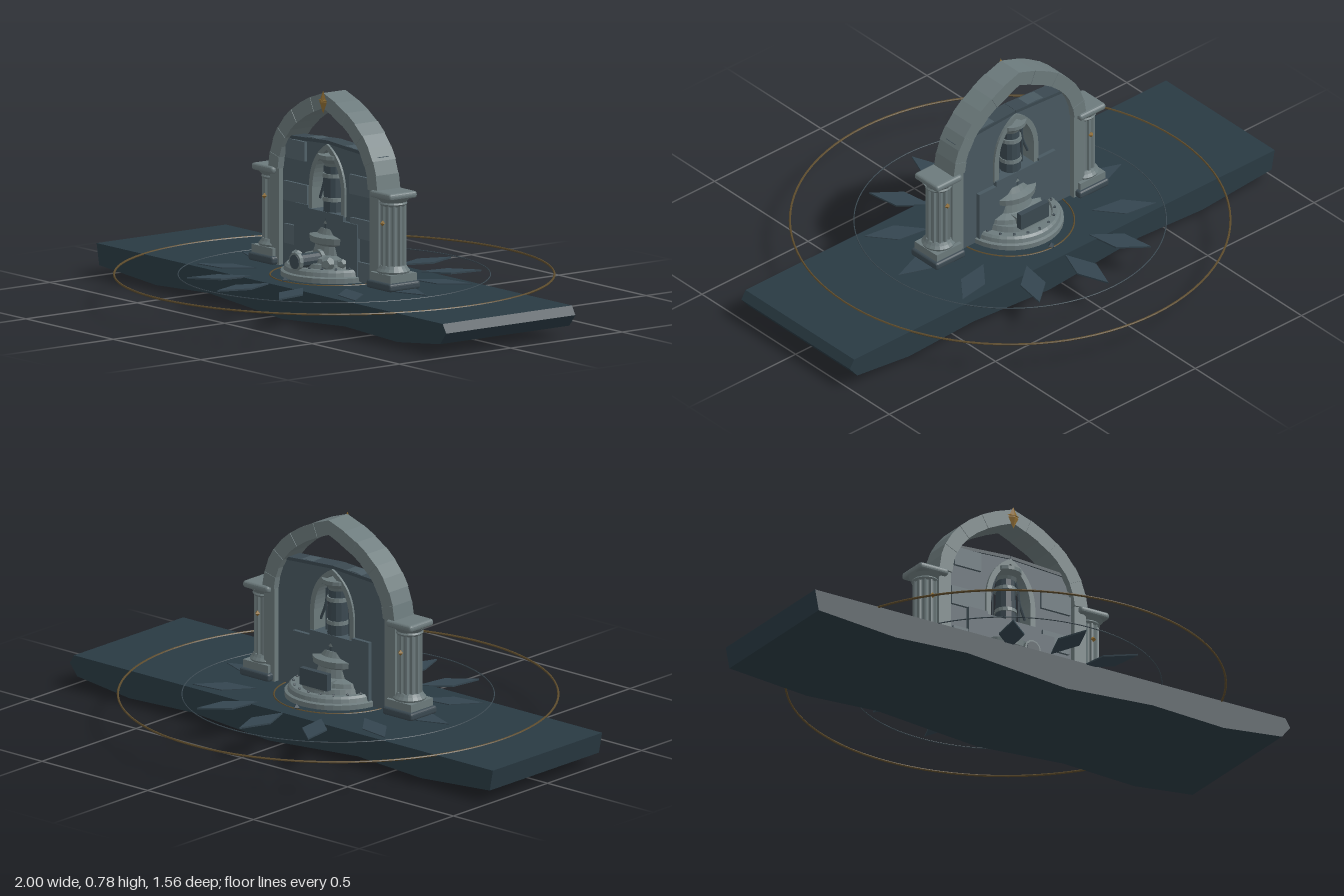
import * as THREE from 'three';
import { RoundedBoxGeometry } from 'three/addons/geometries/RoundedBoxGeometry.js';

const mat = (color) => new THREE.MeshStandardMaterial({ color, flatShading: true, side: THREE.DoubleSide });
const M = {
  slab: mat(0x293a43), petal: mat(0x34454f), wall: mat(0x485860), brick: mat(0x52626a),
  stone: mat(0x6c7a7c), dark: mat(0x3a4850), gold: mat(0x8f6d33), bronze: mat(0x5c4b2c),
};
const TOP = 0.117; // walking surface of the slab

function add(parent, name, geo, material, x = 0, y = 0, z = 0) {
  const m = new THREE.Mesh(geo, material);
  m.name = name;
  m.position.set(x, y, z);
  parent.add(m);
  return m;
}
const box = (w, h, d) => new THREE.BoxGeometry(w, h, d);
const cyl = (a, b, h, n = 24) => new THREE.CylinderGeometry(a, b, h, n);
const lathe = (pts, n = 32) => new THREE.LatheGeometry(pts.map((p) => new THREE.Vector2(...p)), n);
const outline = (pts) => new THREE.Shape(pts.map((p) => new THREE.Vector2(...p)));
// Extrusion centred on z = 0
const extrude = (shape, depth) => new THREE.ExtrudeGeometry(shape, { depth, bevelEnabled: false, curveSegments: 10 })
  .translate(0, 0, -depth / 2);

// Pointed window outline, grown outward by g
function windowPath(path, g = 0) {
  path.moveTo(-0.085 - g, 0.34);
  path.lineTo(0.085 + g, 0.34);
  path.lineTo(0.085 + g, 0.42);
  path.quadraticCurveTo(0.08 + g, 0.52 + g, 0, 0.57 + g);
  path.quadraticCurveTo(-0.08 - g, 0.52 + g, -0.085 - g, 0.42);
  path.lineTo(-0.085 - g, 0.34);
  return path;
}

// Column with plinth, fluted shaft and capital
function column() {
  const g = new THREE.Group();
  g.name = 'column';
  add(g, 'plinth', new RoundedBoxGeometry(0.14, 0.03, 0.14, 2, 0.01), M.dark, 0, TOP + 0.015);
  add(g, 'columnFoot', box(0.118, 0.03, 0.118), M.stone, 0, TOP + 0.043);
  add(g, 'footRing', lathe([[0, 0], [0.056, 0], [0.06, 0.01], [0.052, 0.02], [0.046, 0.03], [0, 0.03]], 20), M.stone, 0, 0.172);
  const flutes = [];
  for (let i = 0; i < 48; i++) {
    const a = (i / 48) * Math.PI * 2;
    const r = i % 4 < 2 ? 0.046 : 0.039;
    flutes.push([Math.cos(a) * r, Math.sin(a) * r]);
  }
  add(g, 'flutedShaft', extrude(outline(flutes), 0.24).rotateX(Math.PI / 2), M.stone, 0, 0.315);
  add(g, 'capitalBell', lathe([[0.044, 0], [0.05, 0.008], [0.046, 0.014], [0.062, 0.03]], 20), M.stone, 0, 0.415);
  add(g, 'capitalSlab', new RoundedBoxGeometry(0.122, 0.026, 0.126, 2, 0.011), M.stone, 0, 0.455);
  // gilded studs on the shaft
  for (const z of [-0.048, 0.048]) {
    add(g, 'stud', new THREE.OctahedronGeometry(0.011), M.gold, 0, 0.355, z);
  }
  return g;
}

// Half of the pointed arch, made of wedge stones
function halfArch() {
  const g = new THREE.Group();
  g.name = 'halfArch';
  const curve = new THREE.QuadraticBezierCurve3(
    new THREE.Vector3(0.285, 0.466, 0), new THREE.Vector3(0.27, 0.66, 0), new THREE.Vector3(0, 0.747, 0));
  const n = 8, rim = [];
  for (let i = 0; i <= n; i++) {
    const p = curve.getPoint(i / n), t = curve.getTangent(i / n);
    const k = 0.027;
    rim.push(i === n ? [[0, p.y + k], [0, p.y - k]]
      : [[p.x + t.y * k, p.y - t.x * k], [p.x - t.y * k, p.y + t.x * k]]);
  }
  for (let i = 0; i < n; i++) {
    const [a, b] = rim[i], [c, d] = rim[i + 1];
    add(g, 'archStone', extrude(outline([a, c, d, b]), i % 2 ? 0.1 : 0.104), M.stone);
  }
  add(g, 'jamb', box(0.05, 0.35, 0.09), M.stone, 0.285, 0.292);
  return g;
}

function wall() {
  const g = new THREE.Group();
  g.name = 'wall';
  const s = outline([[-0.28, TOP], [0.28, TOP], [0.28, 0.58], [0.12, 0.595], [-0.1, 0.598], [-0.28, 0.572]]);
  s.holes.push(windowPath(new THREE.Path()));
  add(g, 'wallPanel', extrude(s, 0.05), M.wall);
  // coping along the wall top
  for (const side of [-1, 1]) {
    add(g, 'coping', box(0.27, 0.012, 0.06), M.dark, side * 0.135, 0.587).rotation.z = -side * 0.06;
  }
  // staggered facing stones on the front, clear of the window
  for (let row = 0; row < 6; row++) {
    for (let i = 0; i < 4; i++) {
      const y = TOP + 0.04 + row * 0.077;
      const w = 0.135 - ((row + i) % 3) * 0.012;
      const x = -0.2 + i * 0.14 + (row % 2 ? 0.02 : -0.03);
      if (y > 0.3 && Math.abs(x) - w / 2 < 0.105) continue;
      if (Math.abs(x) + w / 2 > 0.28) continue;
      add(g, 'facingStone', box(w, 0.07, 0.012), M.brick, x, y, 0.026 + ((row + i) % 2) * 0.003);
    }
  }
  // thicker stepped lower panel on both faces
  add(g, 'lowerPanel', extrude(outline([[-0.18, TOP], [0.18, TOP], [0.18, 0.325], [0.1, 0.325], [0.1, 0.345],
    [-0.1, 0.345], [-0.1, 0.355], [-0.18, 0.355]]), 0.08), M.wall);
  // window surround and tracery
  const frame = windowPath(new THREE.Shape(), 0.018);
  frame.holes.push(windowPath(new THREE.Path(), -0.002));
  add(g, 'windowFrame', extrude(frame, 0.068), M.stone);
  for (const side of [-1, 1]) {
    const rib = new THREE.CatmullRomCurve3([[0.082, 0.38], [0.058, 0.44], [0.05, 0.49], [0.035, 0.54]]
      .map(([x, y]) => new THREE.Vector3(side * x, y, 0)));
    add(g, 'tracery', new THREE.TubeGeometry(rib, 10, 0.005, 6), M.dark);
    add(g, 'windowBar', cyl(0.004, 0.004, 0.16, 6), M.dark, side * 0.055, 0.42);
  }
  return g;
}

// Round stepped dais with the central pillar
function shrine() {
  const g = new THREE.Group();
  g.name = 'shrine';
  add(g, 'dais', lathe([[0, 0], [0.19, 0], [0.19, 0.018], [0.18, 0.022], [0.176, 0.036], [0.168, 0.044],
    [0.15, 0.044], [0.146, 0.034], [0.128, 0.034], [0.122, 0.054], [0, 0.054]], 40), M.stone, 0, TOP);
  for (let i = 0; i < 20; i++) {
    const a = (i / 20) * Math.PI * 2;
    add(g, 'daisStud', new THREE.OctahedronGeometry(0.007), M.dark, Math.cos(a) * 0.158, TOP + 0.046, Math.sin(a) * 0.158);
  }
  add(g, 'pedestal', lathe([[0.1, 0], [0.095, 0.02], [0.068, 0.03], [0.06, 0.06], [0.078, 0.07], [0.08, 0.092],
    [0.055, 0.1], [0.045, 0.12], [0, 0.12]], 24), M.stone, 0, TOP + 0.05).scale.x = 1.25;
  add(g, 'pillar', cyl(0.033, 0.042, 0.25, 12), M.dark, 0, 0.395);
  for (const y of [0.31, 0.39, 0.475]) add(g, 'pillarBand', cyl(0.04, 0.042, 0.014, 16), M.stone, 0, y);
  add(g, 'pillarCapital', lathe([[0.034, 0], [0.04, 0.012], [0.058, 0.028], [0.058, 0.042], [0, 0.045]], 16), M.stone, 0, 0.508);
  // fallen drum at the front
  const drum = new THREE.Group();
  drum.name = 'fallenDrum';
  drum.rotation.x = Math.PI / 2;
  drum.position.set(0, 0.182, 0.12);
  add(drum, 'drumShaft', cyl(0.026, 0.026, 0.12, 12), M.dark);
  for (const y of [-0.05, 0.05]) add(drum, 'drumRing', cyl(0.033, 0.033, 0.015, 12), M.stone, 0, y);
  g.add(drum);
  // rubble on the dais
  for (const [x, z, r] of [[-0.1, 0.09, 0.022], [0.09, 0.1, 0.026], [-0.06, 0.13, 0.016], [0.12, 0.06, 0.018]]) {
    add(g, 'rubble', new THREE.DodecahedronGeometry(r), M.stone, x, 0.18, z);
  }
  // tablet and bench behind
  add(g, 'tablet', box(0.13, 0.062, 0.022), M.dark, 0, 0.203, -0.122);
  add(g, 'tabletBase', box(0.1, 0.03, 0.07), M.stone, 0, 0.18, -0.095);
  return g;
}

export function createModel() {
  const root = new THREE.Group();
  root.name = 'ruinedArchShrine';

  // Long slab with an uneven underside
  add(root, 'slab', extrude(outline([[-1, TOP], [-0.985, 0.04], [-0.66, 0.016], [-0.36, 0.032], [0.06, 0],
    [0.42, 0.026], [0.72, 0.014], [0.965, 0.042], [1, 0.085], [0.98, TOP]]), 0.58), M.slab);

  const site = new THREE.Group();
  site.name = 'site';
  site.position.x = -0.01;
  root.add(site);

  // Ground rings
  for (const [name, r, t, m] of [['outerRing', 0.778, 0.004, M.bronze], ['middleRing', 0.552, 0.002, M.dark],
    ['innerRing', 0.227, 0.003, M.bronze]]) {
    add(site, name, new THREE.TorusGeometry(r, t, 6, 96).rotateX(Math.PI / 2), m, 0, TOP);
  }

  // Twelve diamond petals around the centre
  for (let i = 0; i < 12; i++) {
    const petal = extrude(outline([[0, 0.295], [0.045, 0.41], [0, 0.525], [-0.045, 0.41]]), 0.006).rotateX(Math.PI / 2);
    add(site, 'petal', petal, M.petal, 0, TOP).rotation.y = (i / 12) * Math.PI * 2;
  }
  for (const z of [-0.22, 0.22]) {
    add(site, 'ringMarker', new THREE.OctahedronGeometry(0.014), M.petal, 0, TOP + 0.004, z);
  }

  site.add(wall(), shrine());
  for (const turn of [0, Math.PI]) {
    const half = new THREE.Group();
    half.name = 'archSide';
    const c = column();
    c.position.x = 0.338;
    half.add(c, halfArch());
    half.rotation.y = turn;
    site.add(half);
  }

  // Gilded keystone pendant
  add(site, 'keystonePendant', new THREE.OctahedronGeometry(0.042).scale(0.5, 1, 0.25), M.gold, 0, 0.741, 0.05);
  add(site, 'pendantBar', new THREE.OctahedronGeometry(0.025).scale(1, 0.3, 0.3), M.gold, 0, 0.748, 0.052);
  return root;
}
